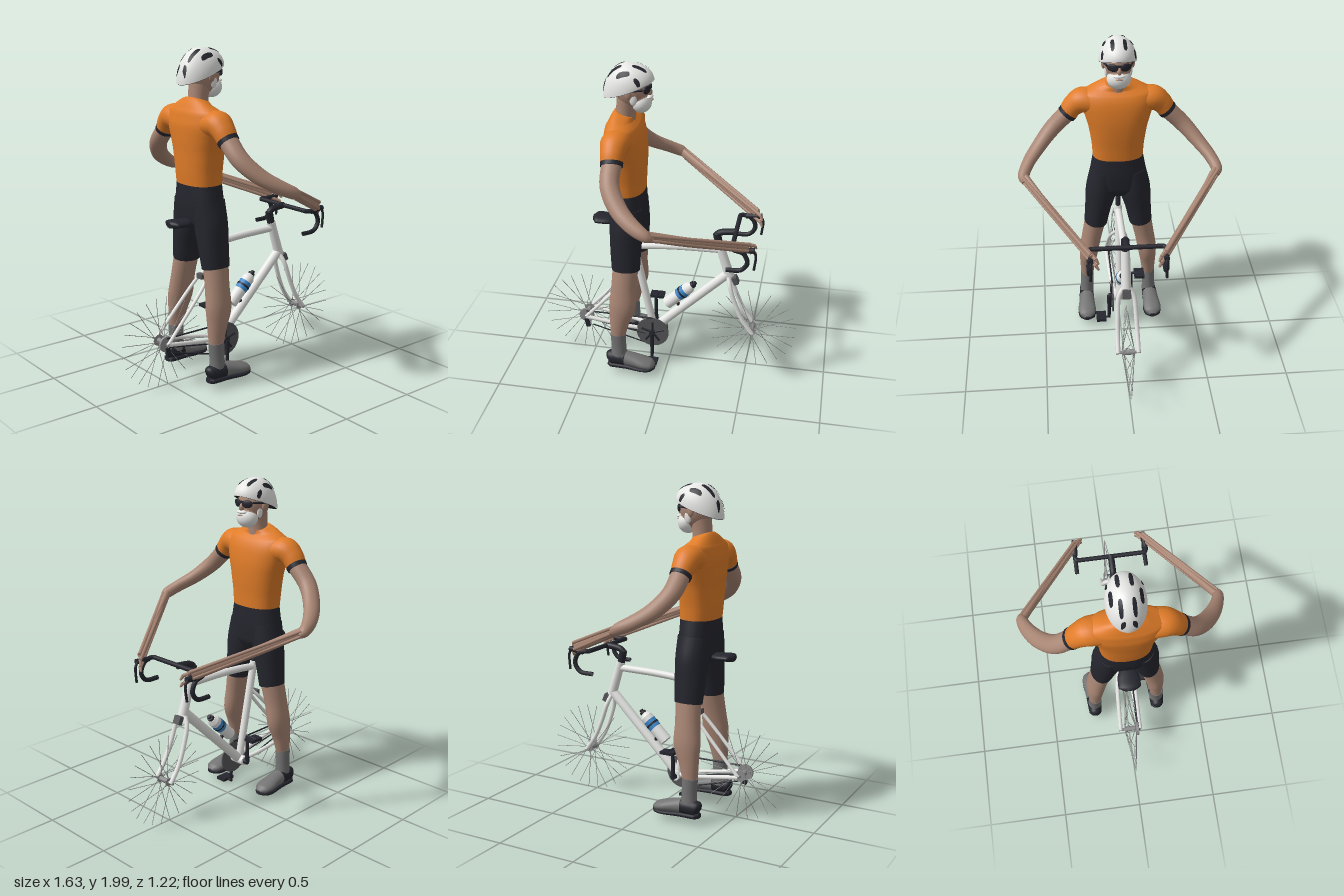
import * as THREE from 'three';
import { ParametricGeometry } from 'three/addons/geometries/ParametricGeometry.js';

const V = (x, y, z) => new THREE.Vector3(x, y, z);

export function createModel() {
  const model = new THREE.Group();
  const paint = (name, color) => new THREE.MeshStandardMaterial({ name, color, side: THREE.DoubleSide });
  const white = paint('white', 0xe8e8e6), orange = paint('orange', 0xe07c28), black = paint('black', 0x25262e),
    skin = paint('skin', 0xa98674), grey = paint('sock grey', 0x737373), steel = paint('chainring grey', 0x57575a),
    blue = paint('blue', 0x3a86c8), silver = paint('spoke silver', 0x8c8c8c);

  let parent = model;
  const group = (name) => {
    parent = new THREE.Group();
    parent.name = name;
    model.add(parent);
  };
  const add = (name, geo, mat, pos) => {
    const m = new THREE.Mesh(geo, mat);
    m.name = name;
    if (pos) m.position.set(...pos);
    parent.add(m);
    return m;
  };
  const box = (name, s, p, mat) => add(name, new THREE.BoxGeometry(...s), mat, p);
  const ball = (name, r, p, mat) => {
    const m = add(name, new THREE.SphereGeometry(1, 24, 16), mat, p);
    m.scale.set(...r);
    return m;
  };
  const rod = (name, a, b, r, mat, r2 = r, seg = 14) => {
    const A = V(...a), d = V(...b).sub(A);
    const m = add(name, new THREE.CylinderGeometry(r2, r, d.length(), seg), mat);
    m.position.copy(A).addScaledVector(d, 0.5);
    m.quaternion.setFromUnitVectors(V(0, 1, 0), d.normalize());
    return m;
  };
  const tube = (name, pts, r, mat) =>
    add(name, new THREE.TubeGeometry(new THREE.CatmullRomCurve3(pts.map(p => V(...p))), 24, r, 10), mat);
  const disc = (name, p, r, t, mat) => rod(name, [p[0], p[1], p[2] - t / 2], [p[0], p[1], p[2] + t / 2], r, mat, r, 32);

  // Body part through elliptical sections [x, y, z, radius along ref, radius across]
  const sweep = (name, rows, mat, ref = V(1, 0, 0), power = 1, seg = 24) => {
    const path = new THREE.CatmullRomCurve3(rows.map(r => V(r[0], r[1], r[2])));
    const size = new THREE.CatmullRomCurve3(rows.map(r => V(r[3], r[4], 0)));
    const n = (rows.length - 1) * 5, pos = [], idx = [];
    const sp = x => Math.sign(x) * Math.abs(x) ** power;
    const ring = (k) => {
      const c = path.getPoint(k / n), t = path.getTangent(k / n), s = size.getPoint(k / n);
      const u = ref.clone().addScaledVector(t, -t.dot(ref)).normalize(), w = t.clone().cross(u);
      for (let j = 0; j < seg; j++) {
        const q = j / seg * Math.PI * 2;
        pos.push(...c.clone().addScaledVector(u, s.x * sp(Math.cos(q))).addScaledVector(w, s.y * sp(Math.sin(q))).toArray());
      }
      return c;
    };
    for (let k = 0; k <= n; k++) ring(k);
    for (let k = 0; k < n; k++) for (let j = 0; j < seg; j++) {
      const a = k * seg + j, b = k * seg + (j + 1) % seg;
      idx.push(a, b, b + seg, a, b + seg, a + seg);
    }
    for (const k of [0, n]) { // flat end caps
      const base = pos.length / 3, c = ring(k);
      pos.push(...c.toArray());
      for (let j = 0; j < seg; j++) {
        const a = base + j, b = base + (j + 1) % seg;
        idx.push(base + seg, k ? a : b, k ? b : a);
      }
    }
    const g = new THREE.BufferGeometry();
    g.setAttribute('position', new THREE.Float32BufferAttribute(pos, 3));
    g.setIndex(idx);
    g.computeVertexNormals();
    return add(name, g, mat);
  };
  const UP = V(0, 1, 0);

  // Torso and pelvis
  group('body');
  sweep('jersey', [[-.256, 1.22, 0, .108, .155], [-.258, 1.3, 0, .113, .16], [-.258, 1.42, 0, .119, .178],
    [-.262, 1.5, 0, .12, .2], [-.27, 1.58, 0, .113, .222], [-.275, 1.64, 0, .093, .215],
    [-.272, 1.675, 0, .072, .15], [-.262, 1.705, 0, .058, .075]], orange, V(1, 0, 0), .85, 32);
  sweep('shortsTop', [[-.256, 1.22, 0, .108, .155], [-.255, 1.1, 0, .11, .176], [-.252, 1.0, 0, .1, .185],
    [-.25, .95, 0, .07, .13]], black, V(1, 0, 0), .88, 32);

  for (const s of [1, -1]) {
    const side = s > 0 ? 'left' : 'right';
    // Legs
    sweep(side + 'ShortsLeg', [[-.255, 1.12, s * .09, .1, .082], [-.25, .98, s * .105, .1, .098],
      [-.25, .85, s * .127, .094, .083], [-.248, .73, s * .144, .087, .073]], black);
    sweep(side + 'Leg', [[-.248, .76, s * .143, .08, .068], [-.258, .62, s * .17, .078, .063],
      [-.264, .5, s * .19, .084, .061], [-.283, .38, s * .2, .062, .05], [-.295, .27, s * .205, .045, .039]], skin);
    sweep(side + 'Sock', [[-.295, .29, s * .205, .048, .043], [-.291, .2, s * .207, .047, .042],
      [-.29, .12, s * .21, .052, .045]], grey);
    // Shoes
    sweep(side + 'ShoeHeel', [[-.362, .1, s * .213, .025, .02], [-.345, .108, s * .213, .045, .042],
      [-.25, .112, s * .214, .048, .049]], black, UP);
    sweep(side + 'ShoeToe', [[-.25, .112, s * .214, .047, .048], [-.19, .105, s * .216, .04, .052],
      [-.13, .095, s * .218, .033, .058], [-.085, .086, s * .218, .026, .05], [-.06, .078, s * .218, .01, .02]], grey, UP);
    sweep(side + 'Sole', [[-.362, .066, s * .213, .014, .022], [-.34, .064, s * .213, .016, .042],
      [-.24, .064, s * .214, .016, .046], [-.13, .062, s * .218, .014, .058], [-.085, .064, s * .218, .014, .05],
      [-.058, .068, s * .218, .01, .02]], black, UP, .7);
    // Sleeves and arms
    sweep(side + 'Sleeve', [[-.272, 1.575, s * .13, .09, .075], [-.278, 1.585, s * .21, .085, .077],
      [-.28, 1.555, s * .26, .072, .066], [-.278, 1.51, s * .295, .064, .058]], orange);
    sweep(side + 'Cuff', [[-.278, 1.512, s * .293, .066, .06], [-.276, 1.494, s * .309, .064, .058]], black);
    sweep(side + 'UpperArm', [[-.278, 1.51, s * .295, .058, .053], [-.268, 1.41, s * .395, .056, .05],
      [-.2, 1.32, s * .485, .052, .042], [-.11, 1.26, s * .55, .045, .036], [-.03, 1.22, s * .578, .035, .034],
      [.01, 1.2, s * .57, .018, .02]], skin);
    sweep(side + 'Forearm', [[-.03, 1.22, s * .575, .03, .022], [.2, 1.12, s * .425, .029, .017],
      [.5, 1.0, s * .217, .026, .012]], skin, UP);
    for (let k = 0; k < 4; k++) { // long finger strands
      const e = k - 1.5, w = (k % 2 - .5) * .03;
      rod(side + 'Finger', [0, 1.205 + e * .015, s * (.565 + w)], [.535 - k % 2 * .02, .99 + e * .022, s * (.2 + w)], .01, skin, .011, 8);
      rod(side + 'Fingertip', [.535 - k % 2 * .02, .99 + e * .022, s * (.2 + w)], [.545 - k % 2 * .03, .965 + e * .02, s * (.185 + w)], .011, skin, .006, 8);
    }
  }

  // Head
  group('head');
  sweep('neck', [[-.262, 1.66, 0, .06, .064], [-.258, 1.72, 0, .058, .062], [-.245, 1.82, 0, .062, .066]], skin);
  ball('skull', [.1, .12, .086], [-.222, 1.855, 0], skin);
  ball('jaw', [.062, .07, .066], [-.18, 1.79, 0], skin);
  ball('beard', [.06, .063, .071], [-.166, 1.772, 0], white);
  ball('moustache', [.02, .012, .036], [-.118, 1.808, 0], white);
  ball('mouth', [.008, .005, .02], [-.105, 1.79, 0], skin);
  ball('nose', [.02, .024, .014], [-.122, 1.835, 0], skin);
  box('glassesBridge', [.012, .01, .05], [-.117, 1.868, 0], black);
  for (const s of [1, -1]) {
    ball('ear', [.02, .03, .012], [-.225, 1.84, s * .086], skin);
    ball('sideburn', [.022, .04, .012], [-.2, 1.81, s * .07], white);
    const lens = ball('lens', [.01, .024, .034], [-.125, 1.858, s * .038], black);
    lens.rotation.y = -s * .4;
    rod('glassesArm', [-.14, 1.866, s * .07], [-.22, 1.86, s * .091], .006, black);
  }

  // Helmet shell with a sloping rim, and thin dark vents following it
  const shell = (a, r, k, out) => {
    const rim = 1.85 + .055 * Math.cos(a), v = Math.asin(Math.min(1, r));
    return out.set(-.24 + .148 * k * r * Math.cos(a), rim + (2 - rim) * Math.cos(v) + (k - 1) * .12, .112 * k * r * Math.sin(a));
  };
  add('helmet', new ParametricGeometry((u, v, t) => shell(u * Math.PI * 2, Math.sin(v * Math.PI / 2), 1, t), 40, 16), white);
  add('helmetInside', new ParametricGeometry((u, v, t) => shell(u * Math.PI * 2, 1, .98, t).lerp(V(-.24, 1.9, 0), v), 40, 4), black);
  for (const s of [1, -1])
    for (const [x0, x1, z0, w] of [[-.35, -.27, .035, .011], [-.21, -.13, .035, .011], [-.29, -.215, .078, .01],
      [-.378, -.362, .03, .012], [-.19, -.155, .092, .006]])
      add('helmetVent', new ParametricGeometry((u, v, t) => {
        const x = x0 + (x1 - x0) * v, q = 2 * v - 1;
        const z = s * z0 + (u * 2 - 1) * w * Math.sqrt(1 - q ** 4 * .8);
        const X = (x + .24) / .148, Z = z / .112;
        return shell(Math.atan2(Z, X), Math.min(.995, Math.hypot(X, Z)), 1.025, t);
      }, 6, 10), black);

  // Frame and fork
  group('frame');
  const BB = [-.105, .217, 0];
  rod('seatTube', BB, [-.235, .85, 0], .024, white);
  rod('downTube', BB, [.365, .68, 0], .029, white);
  tube('topTube', [[-.23, .815, 0], [-.1, .83, 0], [.05, .84, 0], [.31, .845, 0]], .022, white);
  rod('headTube', [.375, .665, 0], [.305, .885, 0], .03, white, .027);
  rod('bottomBracket', [-.105, .217, -.05], [-.105, .217, .05], .03, white);
  rod('seatPost', [-.23, .84, 0], [-.27, .98, 0], .016, black);
  for (const s of [1, -1]) {
    tube('chainStay', [[-.12, .22, s * .02], [-.22, .235, s * .045], [-.54, .29, s * .065]], .013, white);
    tube('seatStay', [[-.2, .67, s * .015], [-.25, .61, s * .045], [-.54, .29, s * .065]], .011, white);
    tube('forkBlade', [[.37, .665, s * .015], [.385, .61, s * .045], [.42, .5, s * .055], [.47, .385, s * .06], [.535, .29, s * .062]], .014, white);
  }
  box('frontBrake', [.03, .05, .05], [.412, .64, 0], steel).rotation.z = .4;
  box('rearBrake', [.03, .03, .05], [-.25, .64, 0], steel);

  // Saddle
  sweep('saddle', [[-.475, .99, 0, .018, .03], [-.45, .995, 0, .024, .068], [-.39, .993, 0, .024, .066],
    [-.3, .99, 0, .018, .03], [-.19, .985, 0, .014, .018]], black, UP);

  // Handlebar, drops and levers
  group('handlebar');
  rod('steerer', [.305, .88, 0], [.288, .955, 0], .024, black);
  tube('stem', [[.285, .945, 0], [.31, .965, 0], [.41, .98, 0]], .02, black);
  rod('bar', [.405, .98, -.215], [.405, .98, .215], .014, black);
  for (const s of [1, -1]) {
    tube('drop', [[.405, .98, s * .21], [.42, .98, s * .222], [.475, .962, s * .222], [.5, .9, s * .222], [.465, .85, s * .222], [.375, .842, s * .222]], .014, black);
    rod('hood', [.44, .975, s * .222], [.54, .985, s * .215], .016, black);
    tube('brakeLever', [[.53, .985, s * .215], [.547, .95, s * .215], [.54, .855, s * .218]], .008, black);
  }

  // Wheels: hubs and bare spokes
  for (const [name, x] of [['rearWheel', -.54], ['frontWheel', .53]]) {
    group(name);
    const rear = x < 0, y = .29;
    rod('axle', [x, y, -.075], [x, y, .075], .009, silver);
    rod('hub', [x, y, -.035], [x, y, .035], .016, silver);
    for (const s of [1, -1]) disc('hubFlange', [x, y, s * .036], rear ? .034 : .024, .004, silver);
    if (rear) disc('sprockets', [x, y, .045], .048, .014, silver);
    for (let i = 0; i < 24; i++) {
      const a = (i + .5) / 24 * Math.PI * 2, h = a + (i % 4 < 2 ? .5 : -.5), z = i % 2 ? .036 : -.036;
      rod('spoke', [x + .024 * Math.cos(h), y + .024 * Math.sin(h), z], [x + .28 * Math.cos(a), y + .28 * Math.sin(a), 0], .0018, silver, .0018, 5);
    }
  }

  // Drivetrain
  group('drivetrain');
  disc('chainring', [-.105, .217, .05], .105, .008, steel);
  for (let i = 0; i < 5; i++) {
    const a = Math.PI / 2 + i * Math.PI * .4;
    rod('spider', [-.105, .217, .055], [-.105 + .075 * Math.cos(a), .217 + .075 * Math.sin(a), .055], .007, black);
  }
  rod('crankAxle', [-.105, .217, -.075], [-.105, .217, .075], .018, black);
  for (const s of [1, -1]) {
    const py = .217 - s * .18;
    rod('crank', [-.105, .217, s * .072], [-.105, py, s * .072], .014, black, .01);
    rod('pedalAxle', [-.105, py, s * .065], [-.105, py, s * .15], .008, black);
    box('pedal', [.09, .018, .065], [-.105, py + s * .005, s * .125], black);
  }
  rod('chainTop', [-.105, .321, .05], [-.54, .325, .05], .005, black);
  rod('chainBottom', [-.105, .115, .05], [-.5, .225, .05], .004, black);
  rod('chainReturn', [-.15, .2, .052], [-.54, .27, .05], .004, black);
  box('derailleur', [.025, .06, .02], [-.535, .24, .055], black).rotation.z = .2;

  // Bottle parallel to the down tube
  group('bottle');
  const at = d => [.062 + d * .72, .493 + d * .69, 0];
  rod('bottleBody', at(-.11), at(.085), .038, white, .038, 24);
  rod('bottleBand', at(-.005), at(.055), .0395, blue, .0395, 24);
  rod('cageBand', at(.018), at(.03), .0415, black, .0415, 24);
  rod('bottleShoulder', at(.085), at(.11), .038, white, .024, 24);
  rod('bottleCap', at(.11), at(.125), .022, black, .02, 20);
  rod('bottleNozzle', at(.125), at(.14), .012, black);
  rod('cageMount', [.06, .41, 0], [.03, .45, 0], .012, black);
  return model;
}
